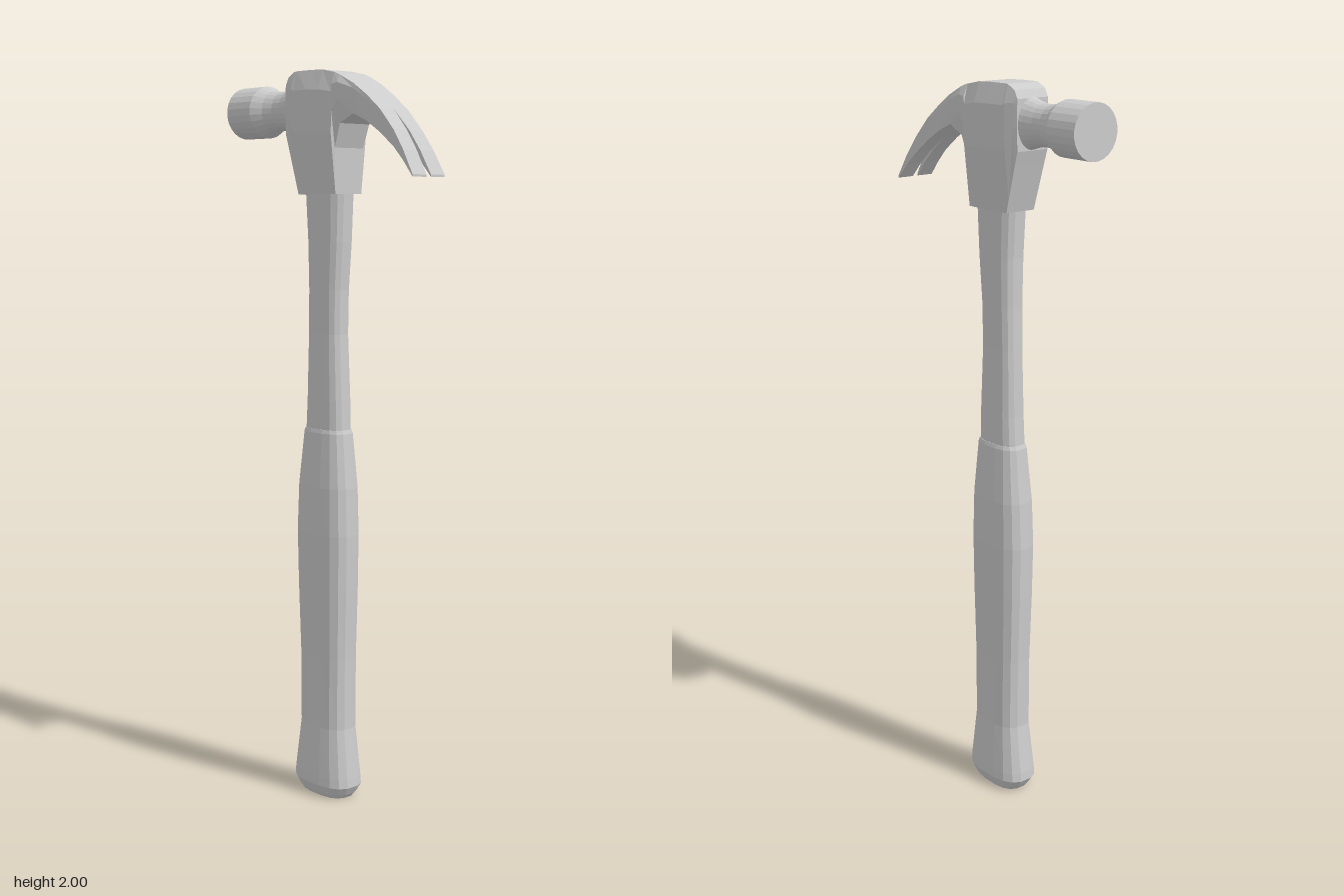
import * as THREE from 'three';

const material = new THREE.MeshStandardMaterial({ color: 0xcccccc, flatShading: true });

// Skin a closed, capped solid over equal-length rings of [x, y, z] points.
function loft(name, rings) {
  const n = rings[0].length, last = (rings.length - 1) * n;
  const pts = rings.flat();
  const tris = [];
  for (let r = 0; r < rings.length - 1; r++) {
    for (let i = 0; i < n; i++) {
      const a = r * n + i, b = r * n + (i + 1) % n;
      tris.push([a, b, b + n], [a, b + n, a + n]);
    }
  }
  for (let i = 1; i < n - 1; i++) {
    tris.push([0, i + 1, i], [last, last + i, last + i + 1]);
  }
  // Turn the faces outwards when the enclosed volume comes out negative
  const v = pts.map(p => new THREE.Vector3(...p));
  const cross = new THREE.Vector3();
  const volume = tris.reduce((s, [a, b, c]) => s + v[a].dot(cross.crossVectors(v[b], v[c])), 0);
  if (volume < 0) tris.forEach(t => t.reverse());

  const geometry = new THREE.BufferGeometry();
  geometry.setAttribute('position', new THREE.Float32BufferAttribute(pts.flat(), 3));
  geometry.setIndex(tris.flat());
  const flat = geometry.toNonIndexed();
  flat.computeVertexNormals();
  const mesh = new THREE.Mesh(flat, material);
  mesh.name = name;
  return mesh;
}

// Unit superellipse: power 2 is a circle, higher is boxier
function outline(sides, power) {
  const f = t => Math.sign(t) * Math.abs(t) ** (2 / power);
  return Array.from({ length: sides }, (_, i) => {
    const a = (i + 0.5) / sides * Math.PI * 2;
    return [f(Math.cos(a)), f(Math.sin(a))];
  });
}

// Handle sections: [y, half width, back z, front z]
function handlePart(name, sections) {
  const shape = outline(16, 2.7);
  return loft(name, sections.map(([y, w, back, front]) =>
    shape.map(([u, v]) => [u * w, y, (front + back) / 2 + v * (front - back) / 2])));
}

// One half of the head; side is +1 or -1
function headHalf(side) {
  // [z, top y, bottom y, top half width, cheek half width, bottom half width, slot half width]
  const stations = [
    [-0.132, 1.965, 1.835, 0.050, 0.051, 0.050, 0],
    [-0.120, 1.986, 1.795, 0.050, 0.055, 0.049, 0],
    [-0.095, 1.999, 1.710, 0.050, 0.063, 0.047, 0],
    [-0.085, 2.000, 1.675, 0.050, 0.064, 0.046, 0],
    [-0.030, 2.000, 1.675, 0.050, 0.067, 0.046, 0],
    [0.020, 1.998, 1.675, 0.050, 0.066, 0.046, 0],
    [0.066, 1.989, 1.675, 0.051, 0.063, 0.046, 0],
    [0.068, 1.989, 1.795, 0.051, 0.063, 0.050, 0],
    [0.090, 1.981, 1.857, 0.053, 0.062, 0.052, 0],
    [0.140, 1.957, 1.880, 0.051, 0.053, 0.051, 0],
    [0.190, 1.925, 1.859, 0.050, 0.051, 0.050, 0],
    [0.240, 1.887, 1.829, 0.050, 0.050, 0.050, 0],
    [0.292, 1.833, 1.791, 0.051, 0.051, 0.051, 0.004],
    [0.330, 1.782, 1.756, 0.054, 0.054, 0.054, 0.006],
    [0.367, 1.721, 1.715, 0.057, 0.057, 0.057, 0.008],
  ];
  return loft(side > 0 ? 'leftHeadAndClaw' : 'rightHeadAndClaw',
    stations.map(([z, top, bottom, wTop, wCheek, wBottom, slot]) => {
      const h = top - bottom;
      return [
        [slot, top], [wTop, top], [wCheek, top - 0.16 * h],
        [wCheek, top - 0.5 * h], [wBottom, bottom], [slot, bottom],
      ].map(([x, y]) => [x * side, y, z]);
    }));
}

export function createModel() {
  const model = new THREE.Group();
  model.name = 'clawHammer';

  // Slim upper shaft
  model.add(handlePart('shaft', [
    [1.00, 0.042, -0.087, 0.057],
    [1.12, 0.041, -0.080, 0.054],
    [1.30, 0.038, -0.075, 0.046],
    [1.42, 0.039, -0.073, 0.048],
    [1.55, 0.042, -0.075, 0.058],
    [1.69, 0.044, -0.084, 0.065],
  ]));

  // Swelling grip with a flared butt
  model.add(handlePart('grip', [
    [0.000, 0.048, -0.098, 0.066],
    [0.012, 0.055, -0.108, 0.076],
    [0.035, 0.064, -0.124, 0.090],
    [0.060, 0.063, -0.122, 0.088],
    [0.200, 0.054, -0.102, 0.071],
    [0.400, 0.053, -0.104, 0.073],
    [0.600, 0.056, -0.112, 0.079],
    [0.750, 0.058, -0.115, 0.081],
    [0.880, 0.056, -0.109, 0.077],
    [0.960, 0.051, -0.099, 0.069],
    [1.030, 0.046, -0.091, 0.062],
    [1.040, 0.043, -0.087, 0.058],
  ]));

  // Head body and split claw
  const head = new THREE.Group();
  head.name = 'head';
  head.add(headHalf(1), headHalf(-1));

  // Waisted neck and striking face: [z, x radius, y radius]
  const round = outline(24, 2);
  head.add(loft('neckAndStrikingFace', [
    [-0.125, 0.050, 0.068], [-0.145, 0.046, 0.061], [-0.175, 0.042, 0.054],
    [-0.205, 0.042, 0.053], [-0.235, 0.051, 0.058], [-0.265, 0.071, 0.071],
    [-0.365, 0.071, 0.071],
  ].map(([z, rx, ry]) => round.map(([u, v]) => [u * rx, 1.902 + v * ry, z]))));
  model.add(head);

  return model;
}
